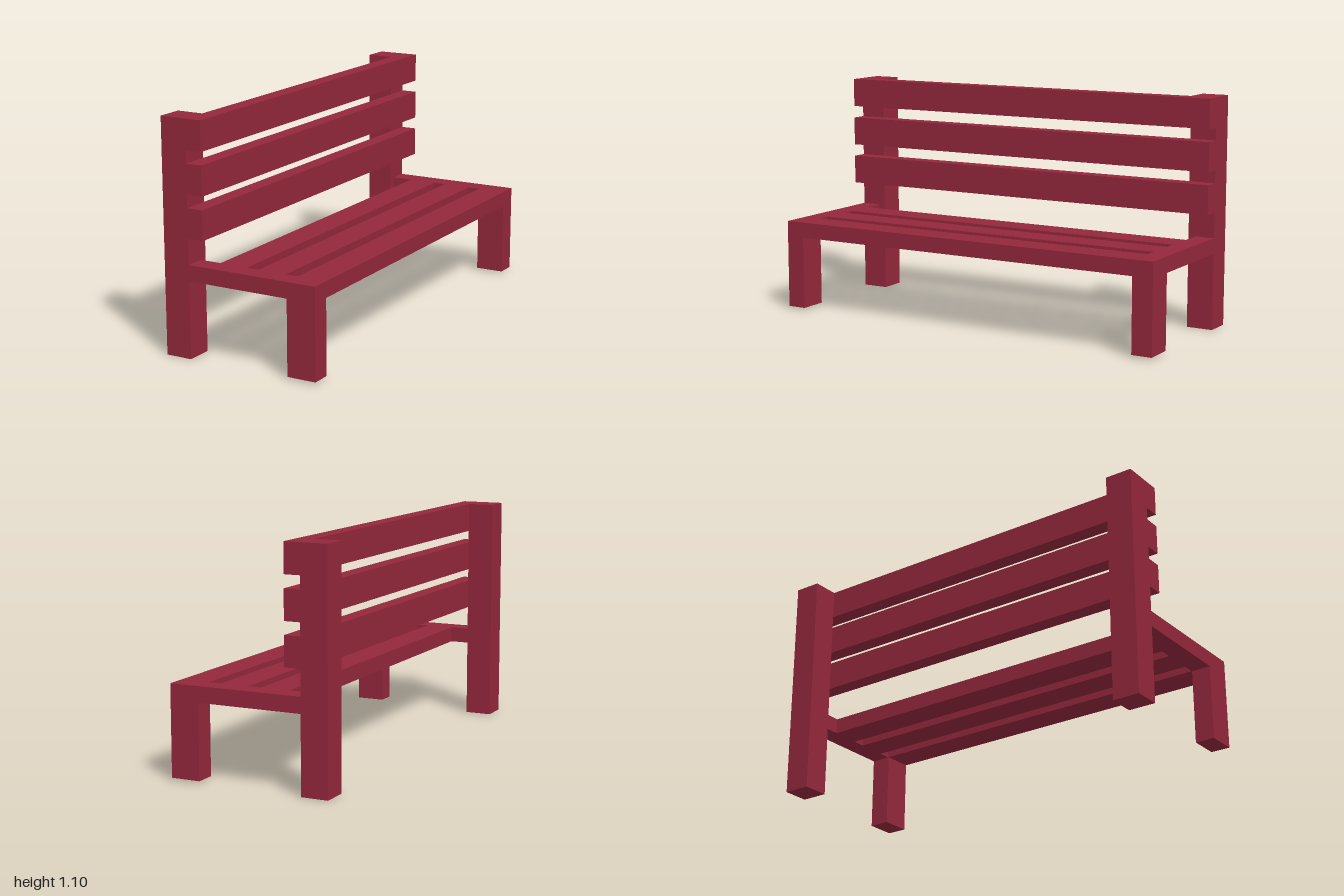
import * as THREE from 'three';

export function createModel() {
  const bench = new THREE.Group();
  bench.name = 'bench';
  const paint = new THREE.MeshStandardMaterial({ color: 0x93273b });

  // Box given by its lower and upper limits on each axis
  const addBox = (name, [x0, x1], [y0, y1], [z0, z1]) => {
    const mesh = new THREE.Mesh(new THREE.BoxGeometry(x1 - x0, y1 - y0, z1 - z0), paint);
    mesh.position.set((x0 + x1) / 2, (y0 + y1) / 2, (z0 + z1) / 2);
    mesh.name = name;
    bench.add(mesh);
  };

  // Tall back posts and short front legs at both ends
  addBox('backPostLeft', [-0.39, -0.26], [0, 1.1], [0.87, 1]);
  addBox('backPostRight', [-0.39, -0.26], [0, 1.1], [-1, -0.87]);
  addBox('frontLegLeft', [0.248, 0.39], [0.01, 0.365], [0.907, 1]);
  addBox('frontLegRight', [0.248, 0.39], [0.01, 0.365], [-1, -0.9]);

  // Three backrest slats
  for (let i = 0; i < 3; i++) {
    const y = 0.56 + i * 0.2;
    addBox(`backSlat${i + 1}`, [-0.26, -0.182], [y, y + 0.14], [-1, 1]);
  }

  // Seat frame: end rails reach back to the posts, two slots separate the slats
  const inner = 0.905;
  const points = (list) => list.map(([x, z]) => new THREE.Vector2(x, z));
  const seatShape = new THREE.Shape(points([
    [-0.26, -1], [0.39, -1], [0.39, 1], [-0.26, 1],
    [-0.26, inner], [-0.155, inner], [-0.155, -inner], [-0.26, -inner],
  ]));
  for (const [x0, x1] of [[-0.015, 0.047], [0.187, 0.248]]) {
    seatShape.holes.push(new THREE.Path(points([
      [x0, -inner], [x0, inner], [x1, inner], [x1, -inner],
    ])));
  }
  const seatGeometry = new THREE.ExtrudeGeometry(seatShape, { depth: 0.075, bevelEnabled: false });
  seatGeometry.rotateX(-Math.PI / 2);
  const seat = new THREE.Mesh(seatGeometry, paint);
  seat.name = 'seat';
  seat.position.y = 0.365;
  bench.add(seat);

  return bench;
}
